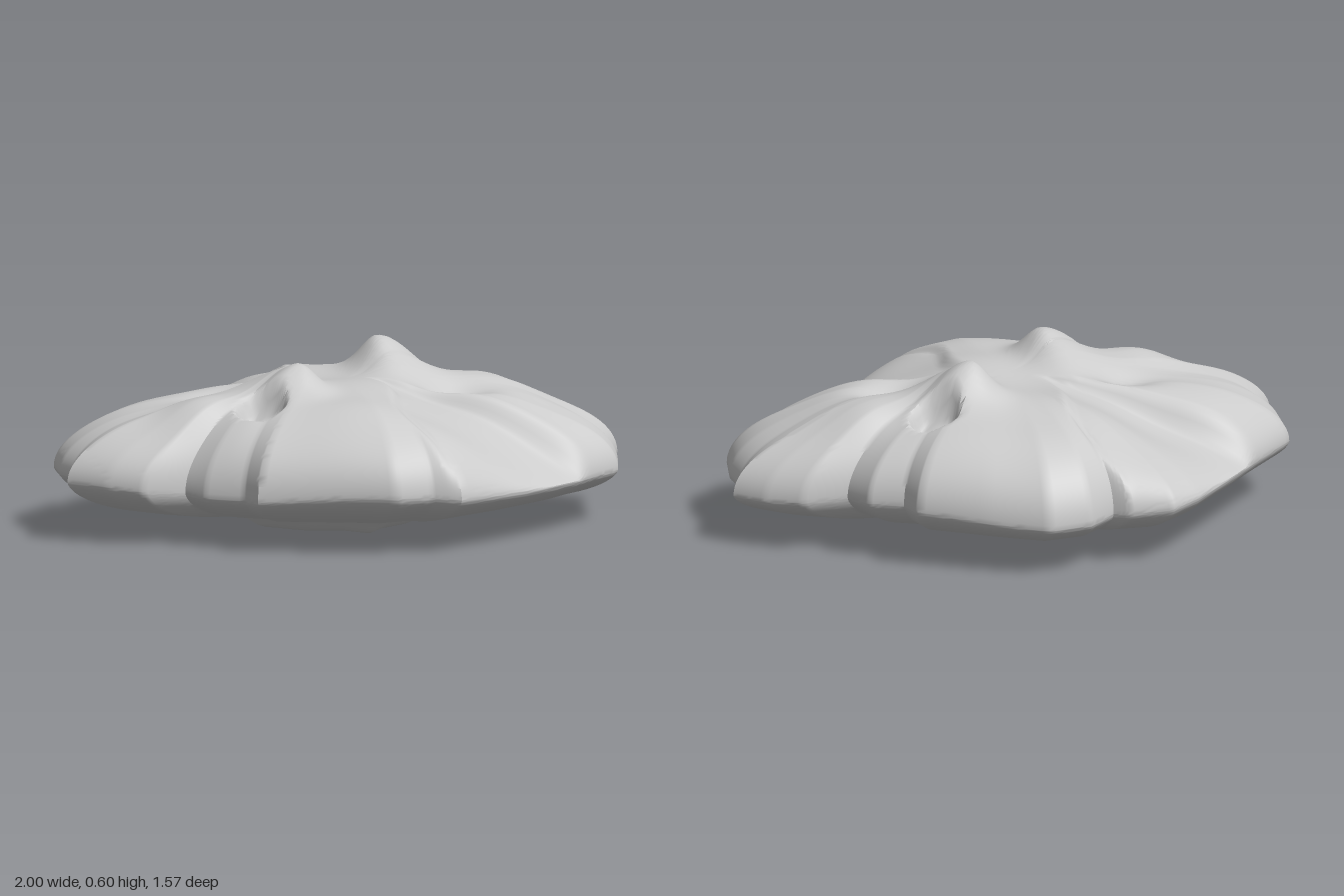
import * as THREE from 'three';
import { toCreasedNormals } from 'three/addons/utils/BufferGeometryUtils.js';

const { smoothstep, lerp } = THREE.MathUtils;

// Footprints as x, z corners, running from +x towards +z
const BODY = [
  [1, 0], [0.94, 0.09], [0.93, 0.2], [0.88, 0.34], [0.8, 0.39], [0.69, 0.48], [0.45, 0.63],
  [0.16, 0.78], [0.07, 0.74], [-0.06, 0.76], [-0.28, 0.64], [-0.48, 0.53], [-0.5, 0.45],
  [-0.61, 0.36], [-0.65, 0.28], [-0.8, 0.27], [-0.9, 0.19], [-1, 0.08], [-0.95, -0.02],
  [-0.96, -0.11], [-0.93, -0.25], [-0.76, -0.4], [-0.62, -0.53], [-0.4, -0.72], [-0.28, -0.79],
  [-0.13, -0.75], [-0.09, -0.71], [0.02, -0.78], [0.17, -0.78], [0.35, -0.65], [0.54, -0.5],
  [0.55, -0.41], [0.65, -0.34], [0.68, -0.23], [0.83, -0.19], [0.93, -0.1],
];
const FOOT = [
  [0.33, 0.04], [0.27, 0.19], [0.12, 0.27], [0.02, 0.38], [-0.08, 0.28], [-0.24, 0.2],
  [-0.39, 0.06], [-0.29, -0.12], [-0.2, -0.26], [-0.02, -0.34], [0.1, -0.44], [0.2, -0.28], [0.29, -0.15],
];

// Closed shell: rings shrink from the rim to the centre, above and below
function shell(corners, perEdge, rows, top, bottom, crease) {
  const outline = corners.flatMap(([x, z], i) => {
    const [nx, nz] = corners[(i + 1) % corners.length];
    return Array.from({ length: perEdge }, (_, k) => [lerp(x, nx, k / perEdge), lerp(z, nz, k / perEdge)]);
  });
  const n = outline.length, pos = [], index = [];
  for (let r = 0; r <= 2 * rows; r++) {
    const t = r === 2 * rows ? 0 : Math.sin((r / rows) * Math.PI / 2);
    for (const [ox, oz] of outline) {
      const x = ox * t, z = oz * t;
      pos.push(x, r <= rows ? top(x, z, t) : bottom(x, z, t), z);
    }
  }
  for (let r = 0; r < 2 * rows; r++) {
    for (let i = 0; i < n; i++) {
      const j = (i + 1) % n, a = r * n + i, b = r * n + j, c = a + n, d = b + n;
      if (r > 0) index.push(a, b, d);
      if (r < 2 * rows - 1) index.push(a, d, c);
    }
  }
  const geo = new THREE.BufferGeometry();
  geo.setAttribute('position', new THREE.Float32BufferAttribute(pos, 3));
  geo.setIndex(index);
  return toCreasedNormals(geo, crease);
}

const bump = (dx, dz, sx, sz) => Math.exp(-((dx / sx) ** 2) - (dz / sz) ** 2);
const rimY = (x, z) => 0.19 + 0.015 * Math.sin(x * 5 + z * 3);

// Upper face: the same half is repeated, turned about y
function topHeight(px, pz, t) {
  const s = pz < 0 ? -1 : 1, x = px * s, z = pz * s;
  const crack = 0.1 + 0.04 * Math.sin(z * 9 + 0.5) * smoothstep(z, 0, 0.3);
  const angle = THREE.MathUtils.radToDeg(Math.atan2(z, x));
  // Steep boulder, a shelf falling away from the crack, and a rounded end
  const steep = Math.sqrt(Math.max(0, 1 - t ** 3.5));
  const round = Math.sqrt(Math.max(0, 1 - t ** 2.2));
  const slope = 1 - t ** 1.6;
  const shelf = lerp(slope, steep, 0.75 * smoothstep(angle, 38, 86));
  const atEnd = lerp(round, shelf, smoothstep(angle, 29, 36));
  const boulder = (1 - smoothstep(x, crack - 0.025, crack + 0.025)) * (1 - smoothstep(angle, 142, 162));
  const profile = lerp(angle > 130 ? round : atEnd, steep, boulder);
  const edge = rimY(px, pz);
  let h = lerp(edge, 0.485, profile);
  const relief = 1 - t ** 4;
  // Features that straddle the two halves are summed for both turns
  for (const k of [1, -1]) {
    const u = px * k, v = pz * k;
    const dx = u + 0.2, dz = v - 0.16;
    h += 0.105 * bump(dx, dz, dx < 0 ? 0.16 : 0.08, dz > 0 ? 0.1 : 0.17);   // peak
    h -= 0.05 * bump(u - 0.38, v - 0.1, 0.12, 0.07);                        // valley
    h += relief * 0.045 * bump(u - 0.56, v + 0.14, 0.13, 0.12);             // shoulder
    h -= 0.09 * (1 - smoothstep(Math.hypot(u + 0.365, v - 0.245), 0.05, 0.095)); // pit
  }
  return h + relief * 0.006 * (Math.sin(px * 13 + pz * 7) + Math.sin(pz * 15 - px * 9));
}

// Lower face: nearly flat, rolling up to the rim
const underside = (x, z, t) => lerp(0.06, rimY(x, z), 1 - Math.max(0, 1 - t ** 4) ** 0.6);

// Bottom of the foot: a low ridge round a shallow hollow
const footBottom = (x, z, t) => 0.055 * smoothstep(t, 0.7, 1) + 0.04 * (1 - smoothstep(t, 0.25, 0.65))
  + 0.004 * (1 + Math.sin(x * 20 + z * 14)) * (1 - t);

export function createModel() {
  const group = new THREE.Group();
  group.name = 'rock';
  const material = new THREE.MeshStandardMaterial({ color: 0xcccccc });
  const add = (name, geometry) => {
    const mesh = new THREE.Mesh(geometry, material);
    mesh.name = name;
    group.add(mesh);
  };
  add('boulderBody', shell(BODY, 8, 48, topHeight, underside, 0.8));
  add('foot', shell(FOOT, 3, 14, () => 0.065, footBottom, 0.6));
  return group;
}
